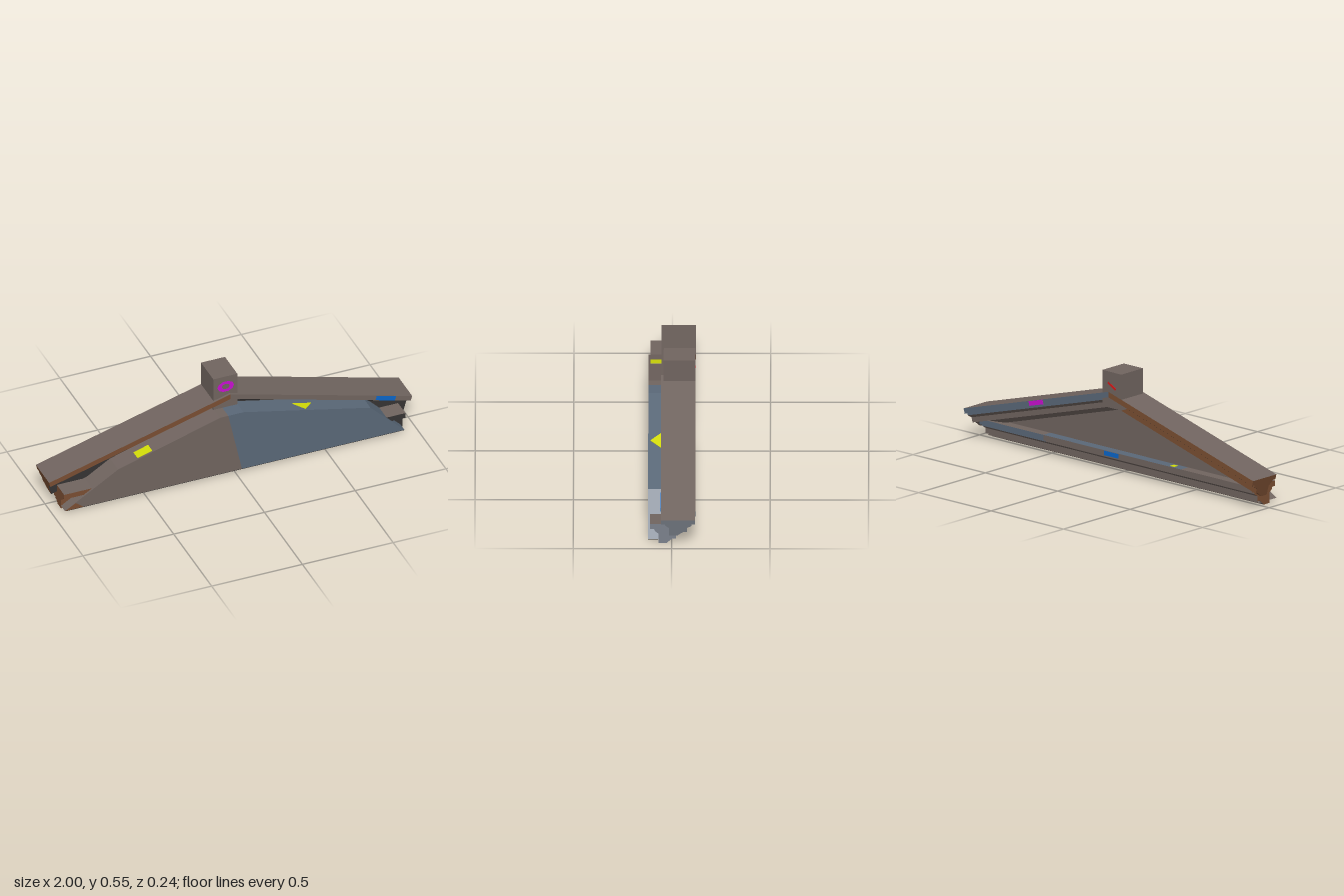
import * as THREE from 'three';

const mat = (name, color) => {
  const m = new THREE.MeshStandardMaterial({ color });
  m.name = name;
  return m;
};

export function createModel() {
  const group = new THREE.Group();
  const taupe = mat('taupe stone', 0x70645f);
  const slate = mat('slate blue', 0x5a6878);
  const brown = mat('rust brown', 0x7a4e32);
  const dark = mat('dark stone', 0x363433);
  const grey = mat('end grey', 0x7a808a);
  const magenta = mat('magenta paint', 0xc810d0);
  const yellow = mat('yellow paint', 0xd2dc08);
  const blue = mat('blue paint', 0x0a66c8);
  const red = mat('red paint', 0xd41a1a);

  const add = (name, geo, material, x = 0, y = 0, z = 0, rz = 0) => {
    const mesh = new THREE.Mesh(geo, material);
    mesh.name = name;
    mesh.position.set(x, y, z);
    mesh.rotation.z = rz;
    group.add(mesh);
    return mesh;
  };

  // Shared moulding profile: [z, depth below the top face], front to back
  const profile = [
    [0.055, 0], [0.055, 0.028], [0.035, 0.028], [0.03, 0.04], [0.013, 0.055],
    [0.013, 0.108], [-0.03, 0.108], [-0.05, 0.09], [-0.06, 0.082], [-0.077, 0.082],
    [-0.077, 0.055], [-0.1, 0.04], [-0.1, 0.028], [-0.12, 0.028], [-0.12, 0],
  ];
  const capFaces = THREE.ShapeUtils.triangulateShape(
    profile.map(([z, d]) => new THREE.Vector2(-z, -d)), []);

  // Sweeps the profile between two placed sections; colourOf(edge) picks each strip's colour
  const moulding = (name, sectionA, sectionB, colourOf, capA, capB) => {
    const A = profile.map(([z, d]) => sectionA(z, d));
    const B = profile.map(([z, d]) => sectionB(z, d));
    const pos = [], mats = [];
    const geo = new THREE.BufferGeometry();
    const put = (material, ...pts) => {
      if (!mats.includes(material)) mats.push(material);
      geo.addGroup(pos.length / 3, pts.length, mats.indexOf(material));
      pts.forEach((p) => pos.push(...p));
    };
    A.forEach((a, i) => {
      const j = (i + 1) % A.length;
      put(colourOf(i), A[j], B[j], B[i], A[j], B[i], a);
    });
    for (const [i, j, k] of capFaces) {
      if (capA) put(capA, A[i], A[k], A[j]);
      if (capB) put(capB, B[i], B[j], B[k]);
    }
    geo.setAttribute('position', new THREE.Float32BufferAttribute(pos, 3));
    geo.computeVertexNormals();
    return add(name, geo, mats);
  };

  // Raking cornices: ends cut square, mitred at the ridge
  const apexY = 0.445, eaveY = 0.165;
  const slope = Math.atan(apexY - eaveY);
  const ridge = (z, d) => [0, apexY - d / Math.cos(slope), z];
  const eave = (s) => (z, d) =>
    [s * (1 - d * Math.sin(slope)), eaveY - d * Math.cos(slope), z];
  moulding('rakingCorniceRight', eave(-1), ridge, (i) => {
    if (i === 14 || i === 5) return taupe;
    return i === 4 || i === 10 ? dark : brown;
  }, brown, null);
  moulding('rakingCorniceLeft', ridge, eave(1), (i) => {
    if (i >= 11 && i <= 13) return slate;
    return (i >= 1 && i <= 4) || i === 8 ? dark : taupe;
  }, null, grey);

  // Horizontal cornice: the same profile, lower and further forward
  const level = (x) => (z, d) => [x, 0.11 - d * 0.11 / 0.108, z + 0.055];
  moulding('baseCorniceRight', level(-0.94), level(-0.45),
    (i) => (i < 5 ? brown : taupe), brown, null);
  moulding('baseCorniceMiddle', level(-0.45), level(0.5), (i) => {
    if (i < 5) return dark;
    return i === 14 ? slate : taupe;
  });
  moulding('baseCorniceLeft', level(0.5), level(0.94), (i) => {
    if (i < 5) return dark;
    return i >= 11 && i <= 13 ? slate : taupe;
  }, null, grey);

  // Gable slab: two coloured halves with a plain tympanum behind
  const slab = (name, pts, material, z, depth) => {
    const shape = new THREE.Shape(pts.map(([x, y]) => new THREE.Vector2(x, y)));
    const geo = new THREE.ExtrudeGeometry(shape, { depth, bevelEnabled: false });
    return add(name, geo, material, 0, 0, z);
  };
  const footR = [-0.94, 0.016], footL = [0.93, 0.016];
  const kneeR = [-0.647, 0.195], kneeL = [0.743, 0.203];
  const topR = [-0.085, 0.364], topL = [0.043, 0.364];
  const splitLow = [0.035, 0.016], splitHigh = [-0.04, 0.364];
  slab('gableSlabRight', [footR, splitLow, splitHigh, topR, kneeR], taupe, 0, 0.12);
  slab('gableSlabLeft', [splitLow, footL, kneeL, topL, splitHigh], slate, 0, 0.12);
  slab('tympanum', [footR, footL, kneeL, topL, topR, kneeR], taupe, -0.012, 0.012);
  slab('slabCornerPatch', [[-0.938, 0.017], [-0.84, 0.017], [-0.88, 0.05]], brown, 0.12, 0.001);
  add('slabUnderside', new THREE.BoxGeometry(1.86, 0.003, 0.05), dark, 0, 0.0145, 0.094);

  // Ridge block
  add('ridgeBlock', new THREE.BoxGeometry(0.132, 0.19, 0.162), taupe, -0.024, 0.458, -0.039);

  // Painted marks
  const plate = (name, w, h, d, material, x, y, z, rz = 0) =>
    add(name, new THREE.BoxGeometry(w, h, d), material, x, y, z, rz);
  const ring = new THREE.RingGeometry(0.022, 0.046, 10);
  ring.scale(1, 0.7, 1);
  add('blockFrontRing', ring, magenta, -0.022, 0.492, 0.043);
  plate('blockBackMark', 0.06, 0.012, 0.002, red, -0.024, 0.48, -0.12, 0.5);
  plate('rakeFrontMark', 0.11, 0.026, 0.002, blue, 0.855, 0.191, 0.055, -slope);
  plate('rakeBackMark', 0.1, 0.024, 0.002, magenta, 0.5, 0.291, -0.12, -slope);
  plate('corniceBackMark', 0.1, 0.024, 0.002, blue, 0.03, 0.096, -0.065);
  plate('corniceTopMark', 0.03, 0.002, 0.03, yellow, -0.38, 0.11, -0.04);
  plate('slabTopMarkRight', 0.085, 0.002, 0.055, yellow, -0.495, 0.241, 0.082, 0.292);
  const wedge = new THREE.ExtrudeGeometry(new THREE.Shape([
    new THREE.Vector2(-0.055, 0), new THREE.Vector2(0, -0.055), new THREE.Vector2(0.055, 0),
  ]), { depth: 0.002, bevelEnabled: false });
  wedge.rotateX(-Math.PI / 2);
  add('slabTopMarkLeft', wedge, yellow, 0.39, 0.284, 0.055, -0.225);

  return group;
}
